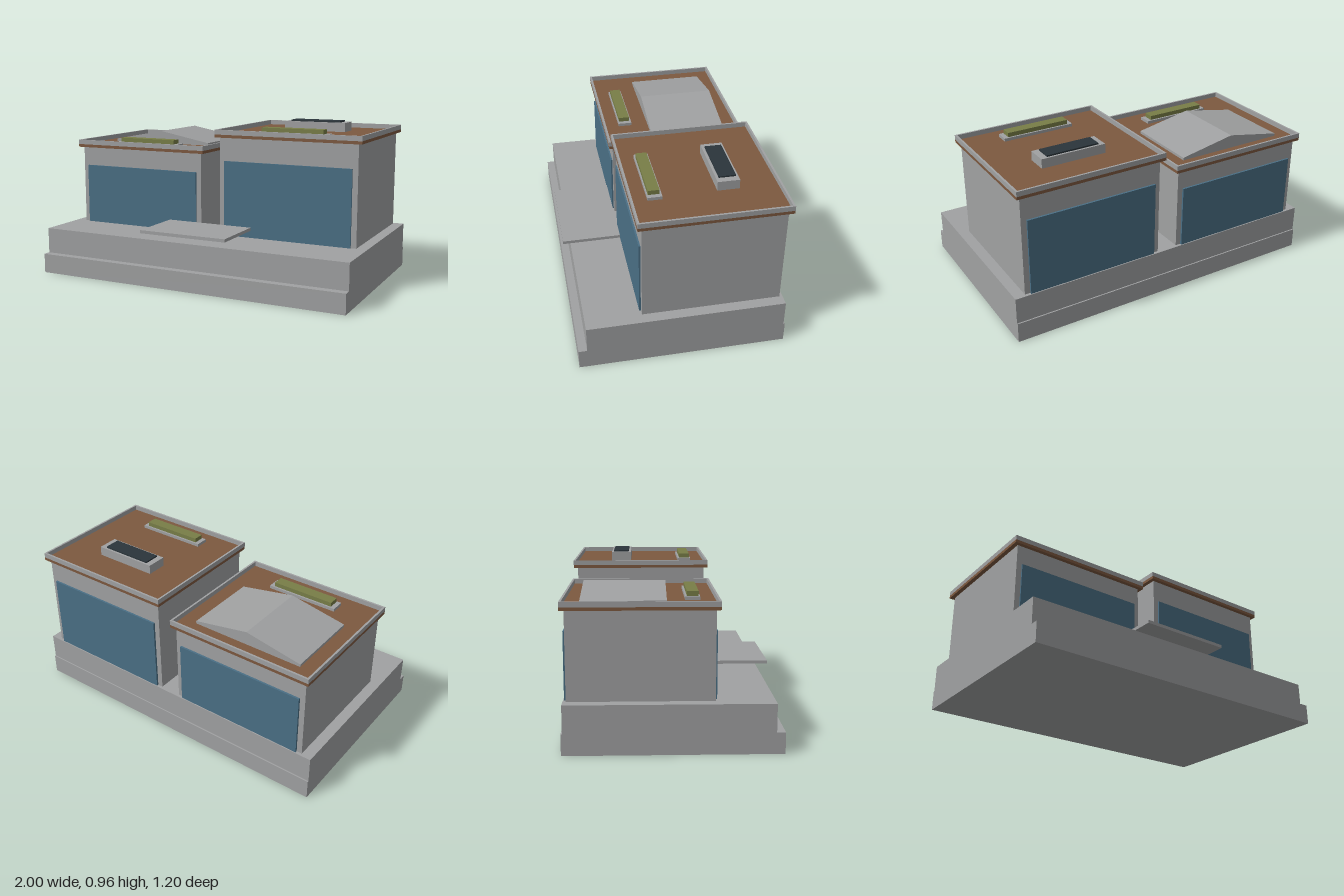
import * as THREE from 'three';

function mat(name, color) {
  const m = new THREE.MeshStandardMaterial({ color });
  m.name = name;
  return m;
}

export function createModel() {
  const concrete = mat('concrete', 0xa0a1a2);
  const timber = mat('timber brown', 0x7d593f);
  const glass = mat('blue glass', 0x4a6f85);
  const plants = mat('planting green', 0x787e47);
  const dark = mat('dark panel', 0x2b353b);

  const model = new THREE.Group();
  model.name = 'twinPavilion';

  // Box given by its extents on each axis
  function box(parent, name, material, [x0, x1], [y0, y1], [z0, z1]) {
    const mesh = new THREE.Mesh(new THREE.BoxGeometry(x1 - x0, y1 - y0, z1 - z0), material);
    mesh.position.set((x0 + x1) / 2, (y0 + y1) / 2, (z0 + z1) / 2);
    mesh.name = name;
    parent.add(mesh);
  }

  // Stepped plinth and the entrance canopy
  box(model, 'lowerPlinth', concrete, [-1, 1], [0, 0.12], [-0.598, 0.598]);
  box(model, 'upperPlinth', concrete, [-1, 1], [0.12, 0.278], [-0.59, 0.55]);
  box(model, 'entranceCanopy', concrete, [-0.28, 0.28], [0.324, 0.343], [0.246, 0.598]);

  // One pavilion: walls, glazing, roof slab, parapet and planter
  function pavilion(name, cx, wallTop, glassTop) {
    const g = new THREE.Group();
    g.name = name;
    g.position.x = cx;
    model.add(g);
    const slabTop = wallTop + 0.018;
    const top = wallTop + 0.047;
    const roofX = 0.46, z0 = -0.597, z1 = 0.252, rim = 0.012;

    box(g, 'walls', concrete, [-0.435, 0.435], [0.278, wallTop], [-0.572, 0.228]);
    box(g, 'frontGlazing', glass, [-0.402, 0.402], [0.278, glassTop], [0.228, 0.2375]);
    box(g, 'backGlazing', glass, [-0.402, 0.402], [0.278, glassTop], [-0.584, -0.572]);
    box(g, 'roofSlab', timber, [-roofX, roofX], [wallTop, slabTop], [z0, z1]);

    // Parapet frame, extruded with an open middle
    const frame = new THREE.Shape();
    frame.moveTo(-roofX, -z1).lineTo(roofX, -z1).lineTo(roofX, -z0).lineTo(-roofX, -z0).closePath();
    const hole = new THREE.Path();
    hole.moveTo(-roofX + rim, -z1 + rim).lineTo(-roofX + rim, -z0 - rim)
      .lineTo(roofX - rim, -z0 - rim).lineTo(roofX - rim, -z1 + rim).closePath();
    frame.holes.push(hole);
    const parapet = new THREE.Mesh(
      new THREE.ExtrudeGeometry(frame, { depth: top - slabTop, bevelEnabled: false }), concrete);
    parapet.rotation.x = -Math.PI / 2;
    parapet.position.y = slabTop;
    parapet.name = 'parapet';
    g.add(parapet);

    box(g, 'planterTray', concrete, [-0.223, 0.223], [slabTop, slabTop + 0.018], [0.072, 0.155]);
    box(g, 'planting', plants, [-0.195, 0.195], [slabTop + 0.018, wallTop + 0.062], [0.083, 0.148]);
    return { g, slabTop };
  }

  const low = pavilion('lowPavilion', -0.5, 0.773, 0.654);
  const tall = pavilion('tallPavilion', 0.5, 0.878, 0.736);

  // Shallow gabled roof light on the low pavilion
  const gable = new THREE.Shape();
  gable.moveTo(-0.348, 0).lineTo(0.348, 0).lineTo(0.348, 0.016).lineTo(0, 0.081).lineTo(-0.348, 0.016).closePath();
  const ridge = new THREE.Mesh(
    new THREE.ExtrudeGeometry(gable, { depth: 0.466, bevelEnabled: false }), concrete);
  ridge.position.set(0, low.slabTop, -0.497);
  ridge.name = 'gabledRoofLight';
  low.g.add(ridge);

  // Service unit with a dark top panel on the tall pavilion
  box(tall.g, 'serviceUnit', concrete, [-0.2, 0.2], [tall.slabTop, 0.952], [-0.365, -0.238]);
  box(tall.g, 'serviceUnitPanel', dark, [-0.163, 0.16], [0.952, 0.961], [-0.352, -0.254]);

  return model;
}
